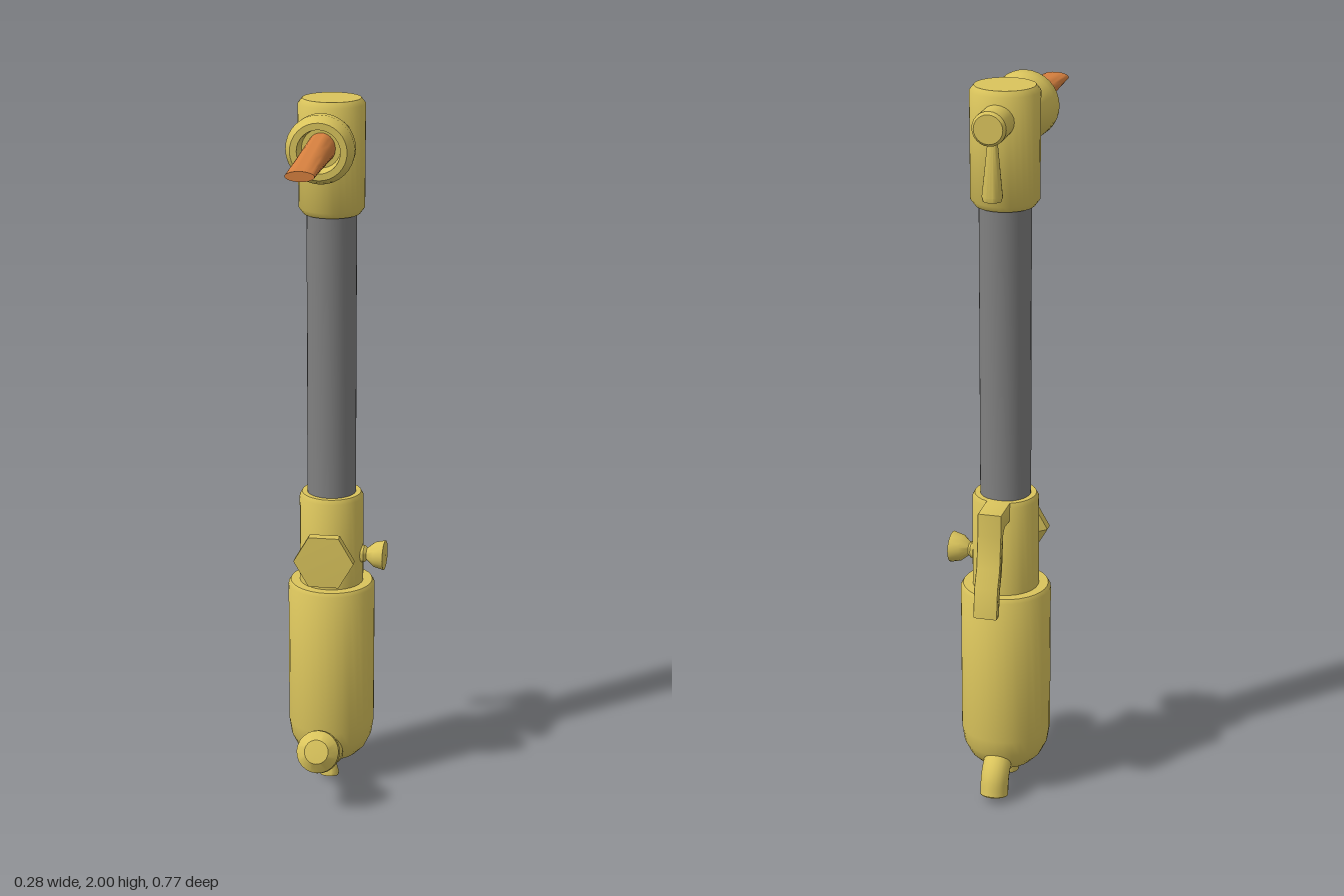
import * as THREE from 'three';
import { toCreasedNormals } from 'three/addons/utils/BufferGeometryUtils.js';

const paint = (color) => new THREE.MeshStandardMaterial({ color, side: THREE.DoubleSide });
const X = -0.018, Z = -0.162; // main axis of the torch

export function createModel() {
  const group = new THREE.Group();
  const yellow = paint(0xdac45c), grey = paint(0x808080), orange = paint(0xd6803f);

  const add = (name, geo, mat = yellow, crease = 0.7) => {
    const mesh = new THREE.Mesh(toCreasedNormals(geo, crease), mat);
    mesh.name = name;
    group.add(mesh);
    return mesh;
  };
  // Turned part: [radius, distance] pairs along a direction from a base point
  const turned = (name, base, dir, profile, sides = 32, mat = yellow) => {
    const geo = new THREE.LatheGeometry(profile.map(([r, d]) => new THREE.Vector2(r, d)), sides);
    const mesh = add(name, geo, mat);
    mesh.position.set(...base);
    mesh.quaternion.setFromUnitVectors(new THREE.Vector3(0, 1, 0), new THREE.Vector3(...dir).normalize());
    return mesh;
  };
  const up = [0, 1, 0], front = [0, 0, 1], back = [0, 0, -1];

  // Main column
  turned('gripBody', [X, 0, Z], up, [[0, 0.055], [0.045, 0.058], [0.075, 0.07], [0.1, 0.095],
    [0.117, 0.13], [0.124, 0.175], [0.124, 0.6], [0.117, 0.611], [0, 0.612]]);
  turned('valveNeck', [X, 0, Z], up, [[0.091, 0.6], [0.091, 0.867], [0.084, 0.88], [0, 0.88]]);
  turned('barrelTube', [X, 0, Z], up, [[0.069, 0.87], [0.069, 1.7]], 32, grey);
  turned('head', [X, 0, Z], up, [[0, 1.685], [0.078, 1.685], [0.091, 1.702], [0.092, 1.985],
    [0.08, 2], [0, 2]]);

  // Nozzle cup with a recessed face
  turned('nozzleCup', [X, 1.9, 0], front, [[0.066, -0.13], [0.067, -0.075], [0.078, -0.03],
    [0.09, 0.015], [0.092, 0.05], [0.076, 0.08], [0.058, 0.08], [0.052, 0.03], [0, 0.03]]);

  // Nozzle tip: round at the cup, pressed flat at the end
  const tip = new THREE.CylinderGeometry(0.038, 0.038, 0.365, 28, 8).rotateX(Math.PI / 2);
  const p = tip.attributes.position;
  for (let i = 0; i < p.count; i++) {
    const t = (p.getZ(i) + 0.1825) / 0.365;
    p.setY(i, p.getY(i) * (1.1 - 0.75 * t));
  }
  add('nozzleTip', tip, orange).position.set(X, 1.9, 0.2025);

  // Knob and drop lever behind the head
  turned('headKnob', [X, 1.922, 0], back, [[0.045, 0.2], [0.045, 0.322], [0.038, 0.33], [0, 0.33]], 24);
  turned('headLever', [X, 1.91, -0.286], [0, -1, -0.03], [[0.012, 0], [0.014, 0.04], [0.027, 0.17],
    [0.024, 0.182], [0, 0.182]], 20);

  // Trigger lever, a bent strip drawn in side profile
  const trigger = new THREE.Shape();
  [[0.22, 0.878], [0.33, 0.878], [0.332, 0.82], [0.345, 0.73], [0.368, 0.68], [0.379, 0.602],
    [0.362, 0.602], [0.35, 0.672], [0.328, 0.72], [0.314, 0.82], [0.3, 0.835], [0.22, 0.83]]
    .forEach(([d, y], i) => (i ? trigger.lineTo(d, y) : trigger.moveTo(d, y)));
  const lever = new THREE.ExtrudeGeometry(trigger, { depth: 0.056, bevelEnabled: true,
    bevelThickness: 0.005, bevelSize: 0.003, bevelSegments: 2 });
  add('triggerLever', lever.translate(0, 0, -0.028).rotateY(Math.PI / 2)).position.x = X;

  // Hexagonal valve handle on the front
  const hex = turned('hexHandle', [X, 0.72, 0], front, [[0.035, -0.1], [0.042, -0.07], [0.085, -0.03],
    [0.085, -0.002], [0, 0]], 6);
  hex.rotateY(Math.PI / 2);

  // Flared side valve
  turned('sideValve', [0.05, 0.695, -0.157], [1, 0, 0.07], [[0.025, 0], [0.025, 0.028], [0.018, 0.036],
    [0.036, 0.058], [0.043, 0.087], [0, 0.09]], 20);

  // Front hose fitting with a bulbous cap
  turned('frontHoseFitting', [X, 0.092, -0.105], [0, 0.107, 0.235], [[0.045, 0], [0.048, 0.06],
    [0.043, 0.13], [0.048, 0.18], [0.061, 0.212], [0.06, 0.236], [0.034, 0.262], [0, 0.264]], 24);

  // Curved rear hose outlet with a closed end
  const bend = new THREE.CatmullRomCurve3([[0.12, -0.2], [0.1, -0.252], [0.07, -0.282], [0.018, -0.294]]
    .map(([y, z]) => new THREE.Vector3(X, y, z)));
  add('rearHoseOutlet', new THREE.TubeGeometry(bend, 16, 0.039, 20), yellow, 1);
  turned('rearOutletCap', [X, 0.018, -0.294], [0, -1, -0.17], [[0.039, 0], [0, 0.002]], 20);

  // Small flared nipple under the body
  turned('bottomNipple', [X, 0.085, -0.136], [0, -1, 0.22], [[0.017, 0], [0.015, 0.03], [0.028, 0.072],
    [0.026, 0.08], [0, 0.08]], 18);

  return group;
}
